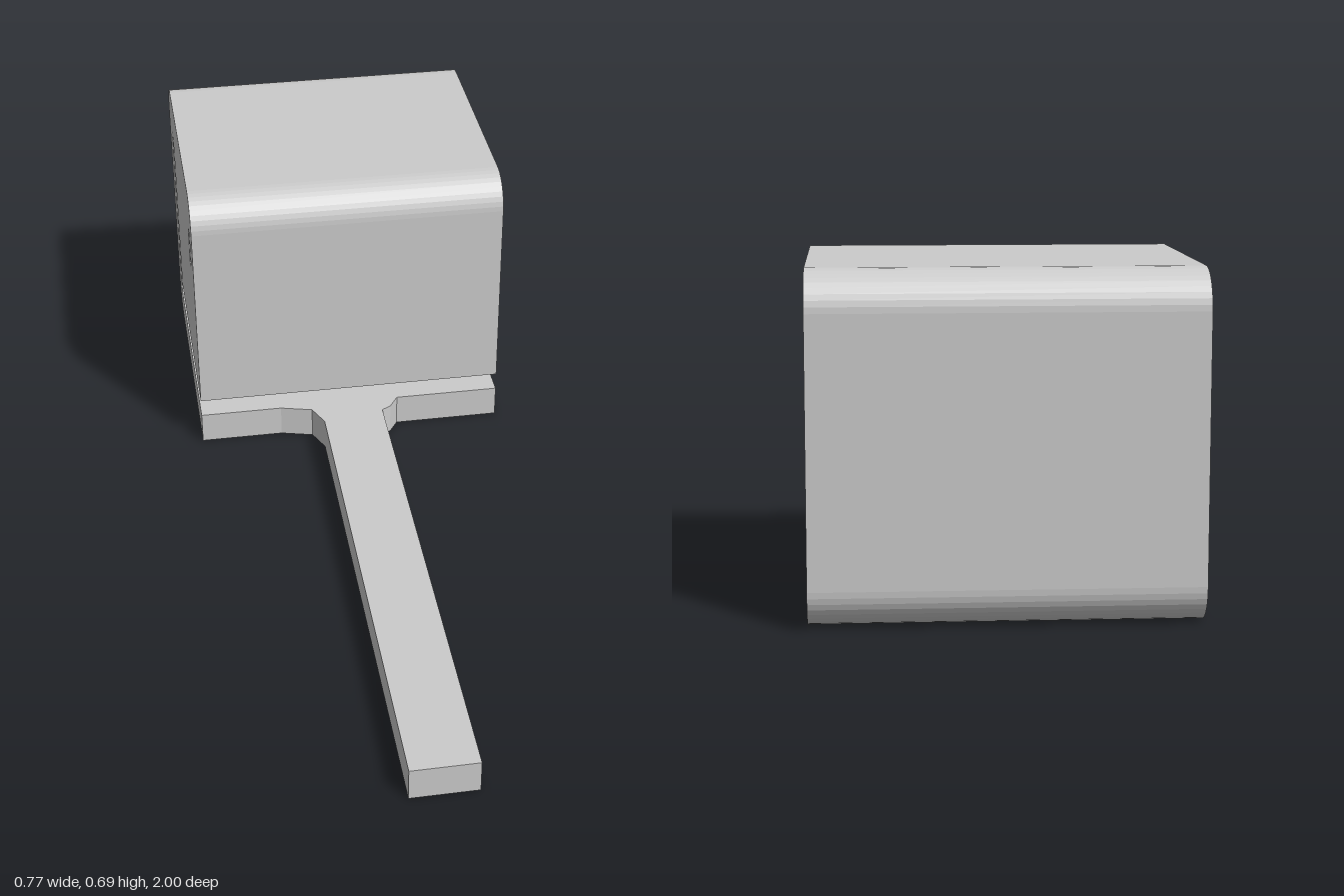
import * as THREE from 'three';

const W = 0.385;      // half width of the box
const T = 0.08;       // sheet thickness
const material = new THREE.MeshStandardMaterial({ color: 0xcccccc });

// Extrude a (z, y) profile along x, from x0 to x1
function extrudeAcross(shape, x0, x1) {
  const geo = new THREE.ExtrudeGeometry(shape, { depth: x1 - x0, bevelEnabled: false, curveSegments: 5 });
  geo.rotateY(-Math.PI / 2);
  geo.translate(x1, 0, 0);
  return geo;
}

function polygon(points) {
  return new THREE.Shape(points.map(([x, y]) => new THREE.Vector2(x, y)));
}

export function createModel() {
  const group = new THREE.Group();
  const add = (name, geo) => {
    const mesh = new THREE.Mesh(geo, material);
    mesh.name = name;
    group.add(mesh);
  };

  // Bent strap: base plate, back wall, roof and front wall in one profile
  const r = 0.08;
  const top = 0.693;
  const strap = new THREE.Shape();
  strap.moveTo(-0.31, 0);
  strap.lineTo(-1 + r, 0);
  strap.absarc(-1 + r, r, r, -Math.PI / 2, -Math.PI, true);
  strap.lineTo(-1, top - r);
  strap.absarc(-1 + r, top - r, r, Math.PI, Math.PI / 2, true);
  strap.lineTo(-0.31 - r, top);
  strap.absarc(-0.31 - r, top - r, r, Math.PI / 2, 0, true);
  strap.lineTo(-0.31, 0.125);
  strap.lineTo(-0.385, 0.125);
  strap.lineTo(-0.385, 0.615);
  strap.lineTo(-0.915, 0.615);
  strap.lineTo(-0.915, 0.11);
  strap.quadraticCurveTo(-0.905, T, -0.86, T);
  strap.lineTo(-0.31, T);
  add('bentStrap', extrudeAcross(strap, -W, W));

  // Side flaps hang from the roof, separated from the walls by slots
  const backEdge = [[-0.875, 0.125], [-0.875, 0.55], [-0.915, 0.585], [-0.915, 0.615], [-0.385, 0.615]];
  const leftFlap = polygon([[-0.425, 0.125], ...backEdge, [-0.385, 0.55], [-0.397, 0.575], [-0.425, 0.575]]);
  const rightFlap = polygon([[-0.385, 0.125], ...backEdge,
    [-0.385, 0.55], [-0.397, 0.575], [-0.42, 0.575], [-0.42, 0.475], [-0.385, 0.475]]);

  // The inner lower back corner of each flap is bent slightly down
  const makeFlap = (shape, x0, x1, drop, shift) => {
    const geo = extrudeAcross(shape, x0, x1);
    const p = geo.attributes.position;
    for (let i = 0; i < p.count; i++) {
      if (Math.abs(p.getX(i)) < W - 0.01 && p.getY(i) < 0.13 && p.getZ(i) < -0.8) {
        p.setY(i, p.getY(i) - drop);
        p.setZ(i, p.getZ(i) - shift);
      }
    }
    geo.computeVertexNormals();
    return geo;
  };
  add('leftFlap', makeFlap(leftFlap, W - T, W, 0.01, 0));
  add('rightFlap', makeFlap(rightFlap, -W, -W + T, 0.028, 0.03));

  // Long tongue with a flared neck; the shape's y becomes -z
  const tongue = polygon([
    [-0.077, -1], [0.077, -1], [0.077, 0.262], [0.1, 0.275], [0.123, 0.31],
    [-0.18, 0.31], [-0.102, 0.29], [-0.077, 0.235],
  ]);
  const tongueGeo = new THREE.ExtrudeGeometry(tongue, { depth: T, bevelEnabled: false });
  tongueGeo.rotateX(-Math.PI / 2);
  add('tongue', tongueGeo);

  return group;
}
